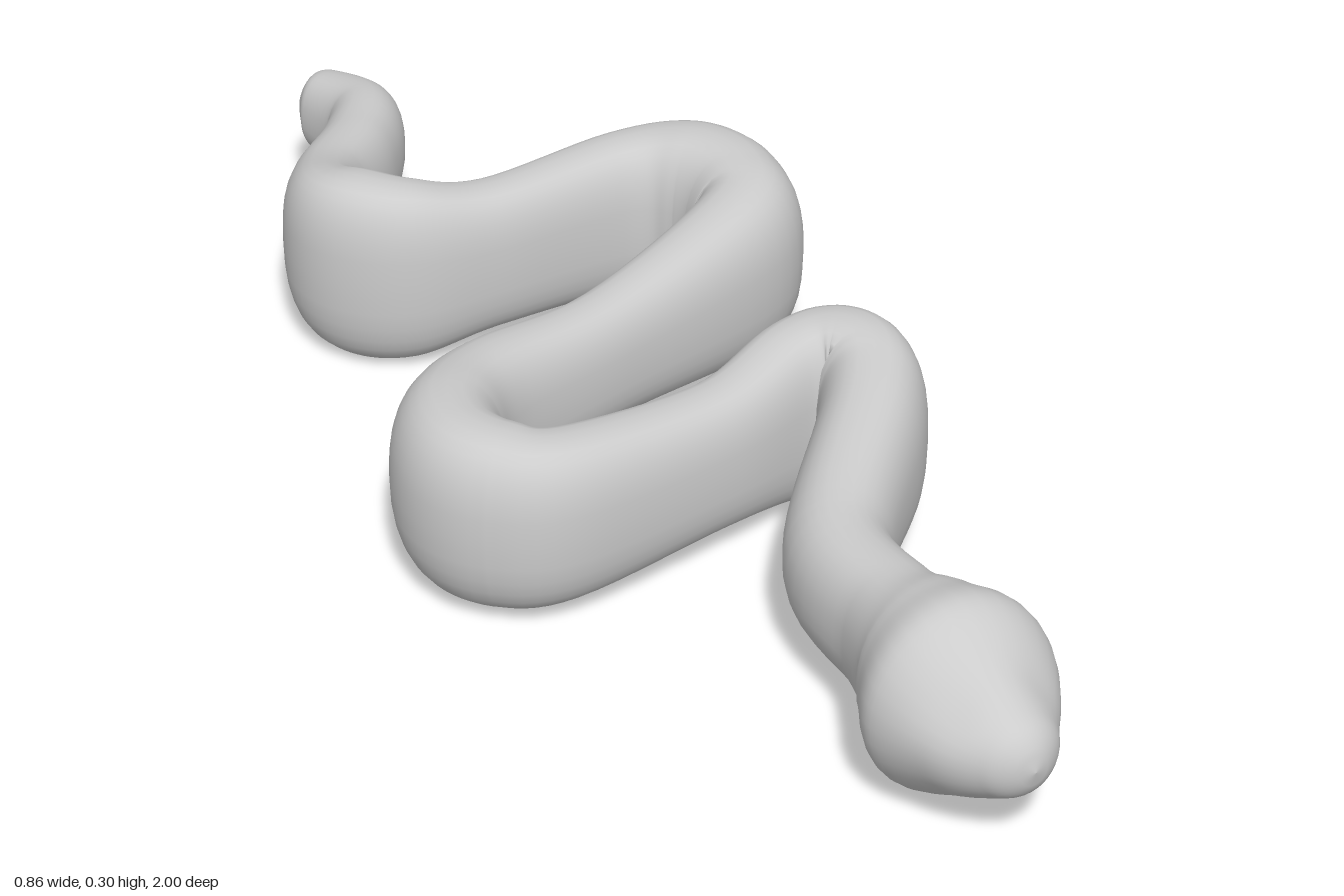
import * as THREE from 'three';

// Stations from nose to tail: x, z, half width, half height
const STATIONS = [
  [-0.02, 0.997, 0.04, 0.045],
  [-0.02, 0.96, 0.062, 0.06],
  [-0.02, 0.9, 0.102, 0.095],
  [-0.013, 0.81, 0.136, 0.144],
  [-0.01, 0.73, 0.105, 0.126],
  [-0.008, 0.65, 0.075, 0.103],
  [0.015, 0.48, 0.075, 0.1],
  [0.19, 0.285, 0.078, 0.135],
  [0.235, 0.205, 0.078, 0.149],
  [0.215, 0.15, 0.075, 0.15],
  [0.15, 0.135, 0.066, 0.138],
  [0, 0.177, 0.06, 0.112],
  [-0.24, 0.196, 0.07, 0.128],
  [-0.32, 0.152, 0.08, 0.138],
  [-0.345, 0.08, 0.085, 0.139],
  [-0.31, -0.005, 0.08, 0.133],
  [-0.21, -0.075, 0.067, 0.115],
  [0, -0.125, 0.058, 0.1],
  [0.28, -0.225, 0.08, 0.136],
  [0.34, -0.31, 0.087, 0.145],
  [0.315, -0.405, 0.082, 0.145],
  [0.22, -0.46, 0.066, 0.128],
  [0, -0.455, 0.058, 0.118],
  [-0.12, -0.475, 0.066, 0.142],
  [-0.18, -0.53, 0.072, 0.148],
  [-0.195, -0.595, 0.068, 0.135],
  [-0.15, -0.68, 0.062, 0.11],
  [-0.06, -0.77, 0.062, 0.095],
  [0, -0.86, 0.059, 0.086],
  [-0.015, -0.96, 0.047, 0.067],
  [-0.033, -1, 0.04, 0.056],
];
const CENTRE_Y = 0.155;
const SIDES = 32;
const SPANS = STATIONS.length - 1;
const STEPS = SPANS * 8;

const signedPow = (v, p) => Math.sign(v) * Math.pow(Math.abs(v), p);
const smoothCurve = (points) => new THREE.CatmullRomCurve3(points, false, 'catmullrom', 0.5);

function sweptBody() {
  const spine = smoothCurve(STATIONS.map(([x, z]) => new THREE.Vector3(x, CENTRE_Y, z)));
  const profile = smoothCurve(STATIONS.map(([, , w, h]) => new THREE.Vector3(w, h, 0)));
  const up = new THREE.Vector3(0, 1, 0);
  const positions = [], index = [];

  for (let i = 0; i <= STEPS; i++) {
    const t = i / STEPS;
    const c = spine.getPoint(t);
    const side = up.clone().cross(spine.getTangent(t)).normalize();
    const { x: w, y: h } = profile.getPoint(t);
    // Tall sections are squarer, round ones stay elliptical
    const power = 2 / (2 + 0.7 * THREE.MathUtils.clamp(h / w - 1, 0, 1));
    // The first and last spans close as rounded caps
    const d = Math.min(1, t * SPANS, (1 - t) * SPANS);
    const cap = Math.sqrt(Math.max(0, 1 - (1 - d) ** 2));
    // Shallow hollows beside the snout ridge
    const hollow = 0.09 * Math.exp(-(((c.z - 0.91) / 0.035) ** 2));
    for (let j = 0; j < SIDES; j++) {
      const a = (j / SIDES) * Math.PI * 2;
      const sn = Math.sin(a);
      const scale = cap * (sn > 0 ? 1 - hollow * Math.sin(2 * a) ** 2 : 1);
      const u = w * scale * signedPow(Math.cos(a), power);
      const v = h * scale * signedPow(sn, power);
      positions.push(c.x + side.x * u, c.y + v, c.z + side.z * u);
    }
  }
  for (let i = 0; i < STEPS; i++) {
    for (let j = 0; j < SIDES; j++) {
      const a = i * SIDES + j, b = i * SIDES + (j + 1) % SIDES;
      index.push(a, b, a + SIDES, b, b + SIDES, a + SIDES);
    }
  }
  const geometry = new THREE.BufferGeometry();
  geometry.setAttribute('position', new THREE.Float32BufferAttribute(positions, 3));
  geometry.setIndex(index);
  geometry.computeVertexNormals();
  return geometry;
}

export function createModel() {
  const group = new THREE.Group();
  group.name = 'snake';
  // Head, winding body and tail as one continuous skin
  const body = new THREE.Mesh(sweptBody(), new THREE.MeshStandardMaterial({ color: 0xcccccc }));
  body.name = 'snakeBody';
  group.add(body);
  return group;
}
